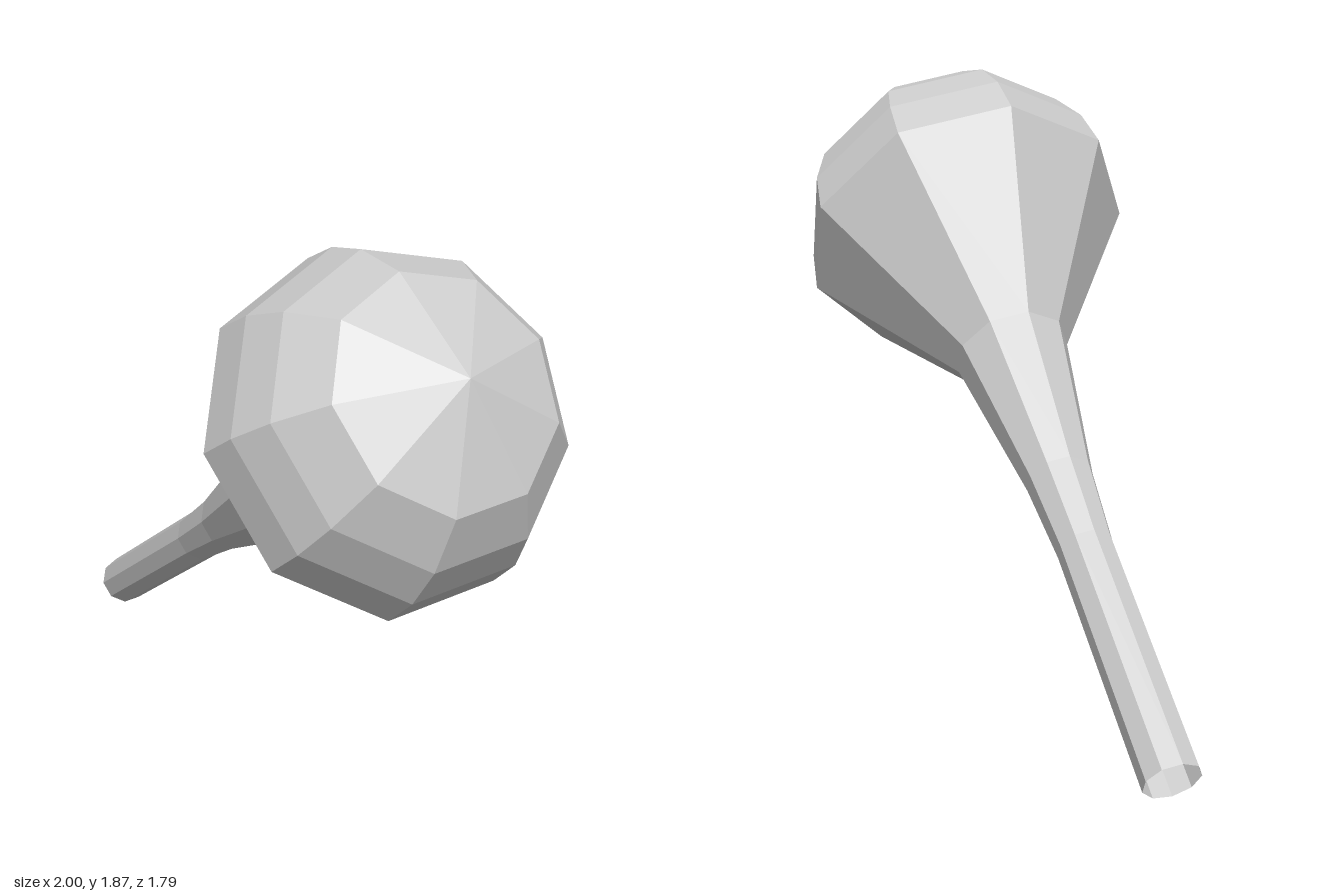
import * as THREE from 'three';

const SIDES = 9;

// Nine-sided lathe from [radius, height] pairs
function turned(name, profile, material) {
  const points = profile.map(([r, h]) => new THREE.Vector2(r, h));
  const mesh = new THREE.Mesh(new THREE.LatheGeometry(points, SIDES), material);
  mesh.name = name;
  return mesh;
}

export function createModel() {
  const group = new THREE.Group();
  group.name = 'bulbHeadedClub';
  const material = new THREE.MeshStandardMaterial({
    color: 0xcccccc, flatShading: true, side: THREE.DoubleSide,
  });

  const headRadius = 0.556;
  const headHeight = 2.196;

  // Slim hollow handle, open at its end
  const handle = turned('handle', [[0.088, 0], [0.088, 0.81]], material);

  // Neck flaring out to the rim of the head
  const neck = turned('neck', [
    [0.088, 0.81], [0.107, 1.08], [0.187, 1.62], [headRadius, headHeight],
  ], material);

  // Domed head: latitude rings closing in a fan at the pole
  const dome = [0, 15.5, 31, 50, 90].map((deg) => {
    const a = THREE.MathUtils.degToRad(deg);
    return [deg === 90 ? 0 : headRadius * Math.cos(a), headHeight + headRadius * Math.sin(a)];
  });
  const head = turned('head', dome, material);

  group.add(handle, neck, head);

  // Lean the whole club along its diagonal axis, one corner line facing "corner"
  const axis = new THREE.Vector3(0.631, 0.567, 0.529).normalize();
  const corner = new THREE.Vector3(-0.421, 0.324, 0.163);
  corner.addScaledVector(axis, -corner.dot(axis)).normalize();
  const across = new THREE.Vector3().crossVectors(axis, corner);
  group.quaternion.setFromRotationMatrix(new THREE.Matrix4().makeBasis(across, axis, corner));
  group.position.set(-0.933, 0.072, -0.823);

  return group;
}
